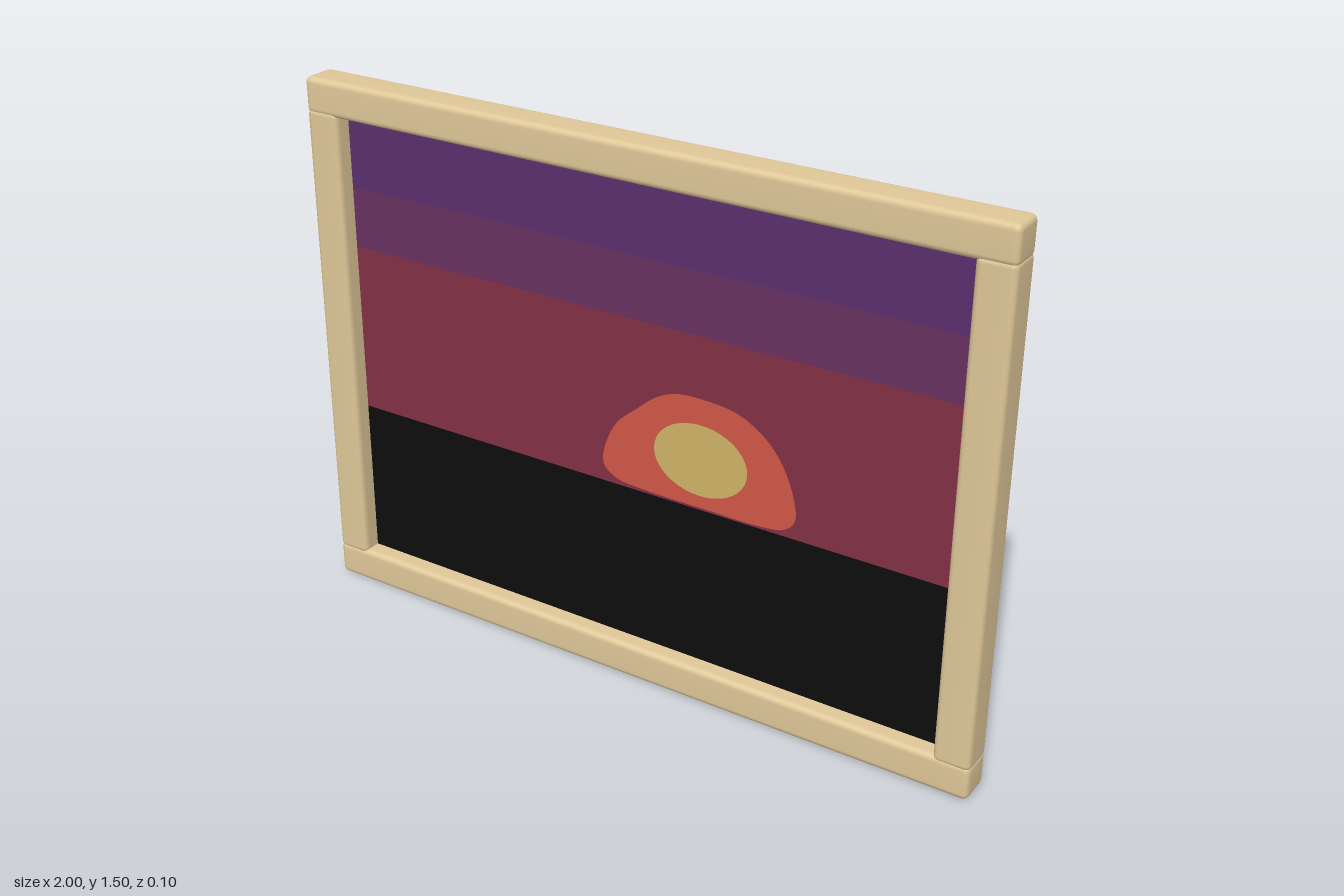
import * as THREE from 'three';
import { RoundedBoxGeometry } from 'three/addons/geometries/RoundedBoxGeometry.js';
import { mergeVertices } from 'three/addons/utils/BufferGeometryUtils.js';

function material(name, color, side = THREE.FrontSide) {
  const m = new THREE.MeshStandardMaterial({ color, side });
  m.name = name;
  return m;
}

// Bar with worn edges and soft normals running over the bevels
function barGeometry(w, h, d) {
  const g = new RoundedBoxGeometry(w, h, d, 2, 0.017);
  g.deleteAttribute('normal');
  g.deleteAttribute('uv');
  const soft = mergeVertices(g);
  soft.computeVertexNormals();
  return soft;
}

function rectangle(x0, y0, x1, y1) {
  return new THREE.Shape([[x0, y0], [x1, y0], [x1, y1], [x0, y1]].map(p => new THREE.Vector2(...p)));
}

export function createModel() {
  const group = new THREE.Group();
  group.name = 'framedSunset';

  const wood = material('paleWood', 0xdfc798);
  const both = THREE.DoubleSide;
  const purple = material('purpleSky', 0x5b2f6d, both);
  const plum = material('plumSky', 0x693160, both);
  const crimson = material('crimsonSky', 0x823144, both);
  const coral = material('coralGlow', 0xd15748, both);
  const yellow = material('yellowSun', 0xd0b467, both);
  const black = material('blackGround', 0x0d0d0d, both);

  const add = (name, geometry, mat, x = 0, y = 0) => {
    const mesh = new THREE.Mesh(geometry, mat);
    mesh.name = name;
    mesh.position.set(x, y, 0);
    group.add(mesh);
  };

  // Frame: full-width rails with stiles fitted between them
  const rail = barGeometry(2, 0.1, 0.1);
  add('topRail', rail, wood, 0, 1.45);
  add('bottomRail', rail, wood, 0, 0.05);
  const stile = barGeometry(0.1, 1.33, 0.1);
  add('leftStile', stile, wood, 0.95, 0.75);
  add('rightStile', stile, wood, -0.95, 0.75);

  // Outlines of the sun and the glow around it
  const sunOutline = new THREE.EllipseCurve(0.195, 0.69, 0.137, 0.1).getPoints(40).slice(0, -1);
  const glowOutline = new THREE.CatmullRomCurve3([
    [0.2, 0.556], [0.38, 0.557], [0.44, 0.568], [0.47, 0.6], [0.465, 0.66], [0.43, 0.745],
    [0.38, 0.805], [0.3, 0.85], [0.2, 0.862], [0.12, 0.857], [0.06, 0.83], [0, 0.78],
    [-0.055, 0.73], [-0.09, 0.66], [-0.097, 0.6], [-0.06, 0.568], [0.02, 0.558],
  ].map(([x, y]) => new THREE.Vector3(x, y, 0)), true)
    .getPoints(68).slice(0, -1).map(p => new THREE.Vector2(p.x, p.y));

  // Picture: one flat sheet, each colour cut to fit the next
  const sky = rectangle(-0.93, 0.55, 0.93, 1.03);
  sky.holes.push(new THREE.Path(glowOutline));
  const glow = new THREE.Shape(glowOutline);
  glow.holes.push(new THREE.Path(sunOutline));
  const paint = (name, shape, mat) => add(name, new THREE.ShapeGeometry(shape), mat);
  paint('upperSky', rectangle(-0.93, 1.2, 0.93, 1.43), purple);
  paint('middleSky', rectangle(-0.93, 1.03, 0.93, 1.2), plum);
  paint('lowerSky', sky, crimson);
  paint('sunGlow', glow, coral);
  paint('sun', new THREE.Shape(sunOutline), yellow);
  paint('ground', rectangle(-0.93, 0.07, 0.93, 0.55), black);

  return group;
}
